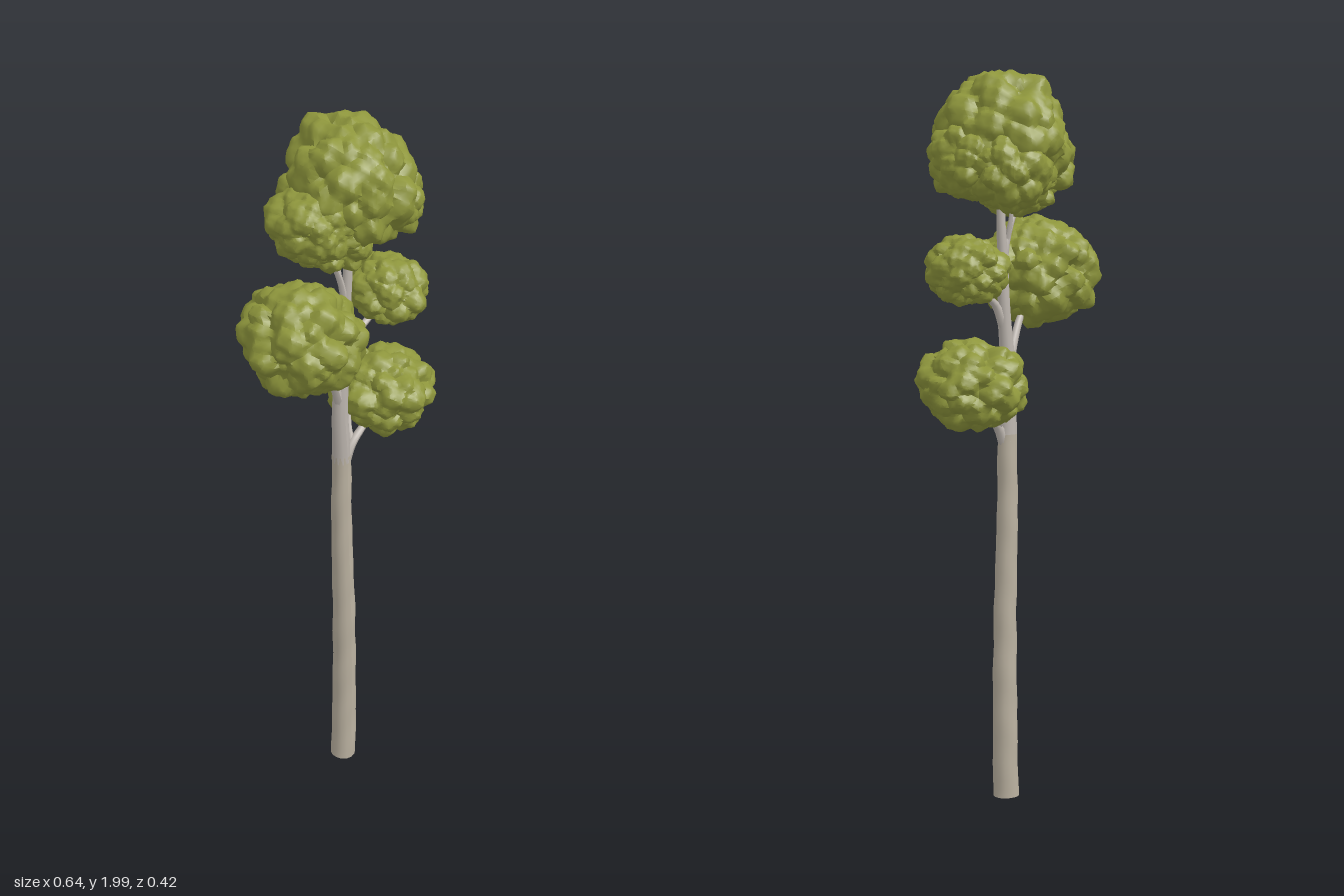
import * as THREE from 'three';
import { toCreasedNormals } from 'three/addons/utils/BufferGeometryUtils.js';

function seeded(seed) {
  let s = seed;
  return () => {
    s = (s * 16807) % 2147483647;
    return s / 2147483647;
  };
}

// Tapered, slightly gnarled limb through points [x, y, z, radius]
function limb(points, sides, steps, gnarl = 0) {
  const curve = new THREE.CatmullRomCurve3(points.map(p => new THREE.Vector3(p[0], p[1], p[2])));
  const geo = new THREE.TubeGeometry(curve, steps, 1, sides, false);
  const pos = geo.attributes.position;
  const v = new THREE.Vector3();
  for (let i = 0; i <= steps; i++) {
    const centre = curve.getPointAt(i / steps);
    const t = curve.getUtoTmapping(i / steps) * (points.length - 1);
    const k = Math.min(Math.floor(t), points.length - 2);
    const radius = THREE.MathUtils.lerp(points[k][3], points[k + 1][3], t - k);
    for (let j = 0; j <= sides; j++) {
      const n = i * (sides + 1) + j;
      const a = (j % sides) / sides * Math.PI * 2;
      const bump = 1 + gnarl * (Math.sin(i * 1.1 + Math.sin(a) * 2) + Math.sin(a * 3 + i * 0.8));
      v.fromBufferAttribute(pos, n).sub(centre).multiplyScalar(radius * bump).add(centre);
      pos.setXYZ(n, v.x, Math.max(v.y, 0), v.z);
    }
  }
  geo.computeVertexNormals();
  return geo;
}

// Foliage clump: a ball pushed out to the surface of many small uneven lumps
function foliage(radii, count, lumpSize, seed, detail) {
  const rand = seeded(seed);
  const lumps = [];
  for (let i = 0; i < count; i++) {
    const y = 1 - 2 * (i + 0.5) / count;
    const a = i * 2.39996 + rand() * 0.7;
    const r = Math.sqrt(1 - y * y);
    const size = lumpSize * (0.75 + rand() * 0.5);
    const dist = 1 - size + (rand() - 0.5) * 0.16;
    lumps.push({ c: new THREE.Vector3(r * Math.cos(a), y, r * Math.sin(a)).multiplyScalar(dist), size });
  }
  const geo = new THREE.IcosahedronGeometry(1, detail);
  const pos = geo.attributes.position;
  const d = new THREE.Vector3();
  for (let i = 0; i < pos.count; i++) {
    d.fromBufferAttribute(pos, i).normalize();
    let reach = 0.8;
    for (const { c, size } of lumps) {
      const along = d.dot(c);
      const h = size * size - (c.lengthSq() - along * along);
      if (along > 0 && h > 0) reach = Math.max(reach, along + Math.sqrt(h));
    }
    // small ripples roughen the lumps
    reach += 0.02 * Math.sin(d.x * 23 + seed) * Math.sin(d.y * 21) + 0.016 * Math.sin(d.z * 27 + d.x * 9);
    pos.setXYZ(i, d.x * reach * radii[0], d.y * reach * radii[1], d.z * reach * radii[2]);
  }
  return toCreasedNormals(geo, 0.7);
}

export function createModel() {
  const tree = new THREE.Group();
  tree.name = 'tree';
  const bark = new THREE.MeshStandardMaterial({ color: 0xbab1a0 });
  bark.name = 'bark';
  const paleBark = new THREE.MeshStandardMaterial({ color: 0xbdb6af });
  paleBark.name = 'paleBark';
  const leaf = new THREE.MeshStandardMaterial({ color: 0x8e963c });
  leaf.name = 'leaf';

  const add = (name, geo, mat) => {
    const mesh = new THREE.Mesh(geo, mat);
    mesh.name = name;
    tree.add(mesh);
    return mesh;
  };

  // Trunk
  add('lowerTrunk', limb([
    [0.031, 0, -0.024, 0.036], [0.033, 0.25, -0.023, 0.034], [0.029, 0.5, -0.02, 0.032],
    [0.021, 0.8, -0.021, 0.029], [0.02, 1.02, -0.02, 0.026],
  ], 14, 40, 0.025), bark);
  add('upperTrunk', limb([
    [0.02, 1.0, -0.02, 0.026], [0.011, 1.18, -0.016, 0.022], [0.024, 1.34, -0.013, 0.018],
    [0.03, 1.5, -0.012, 0.014], [0.036, 1.63, -0.01, 0.012], [0.04, 1.78, -0.01, 0.007],
  ], 12, 28, 0.02), paleBark);
  const base = add('trunkBase', new THREE.CircleGeometry(0.036, 14), bark);
  base.rotation.x = Math.PI / 2;
  base.position.set(0.031, 0.001, -0.024);

  // Branches and their forks
  const branches = [
    ['lowBranch', [[0.025, 0.98, -0.018, 0.016], [0.055, 1.04, -0.018, 0.013], [0.1, 1.08, -0.02, 0.01], [0.17, 1.14, -0.03, 0.006]]],
    ['lowBranchFork', [[0.055, 1.04, -0.018, 0.01], [0.065, 1.08, -0.04, 0.008], [0.09, 1.14, -0.07, 0.005]]],
    ['leftBranch', [[0.012, 1.17, -0.014, 0.015], [-0.02, 1.25, -0.005, 0.012], [-0.06, 1.32, 0.005, 0.01], [-0.13, 1.4, 0.02, 0.006]]],
    ['leftBranchFork', [[-0.045, 1.295, 0, 0.009], [-0.09, 1.325, 0.035, 0.007], [-0.13, 1.37, 0.07, 0.005]]],
    ['rightBranch', [[0.025, 1.31, -0.012, 0.014], [0.055, 1.37, -0.01, 0.011], [0.11, 1.41, -0.01, 0.009], [0.17, 1.46, -0.01, 0.005]]],
    ['upperBranch', [[0.027, 1.44, -0.012, 0.011], [0.01, 1.53, -0.008, 0.009], [-0.02, 1.6, -0.005, 0.008], [-0.09, 1.7, 0, 0.005]]],
    ['upperBranchFork', [[0.006, 1.54, -0.008, 0.007], [0.005, 1.6, -0.02, 0.006], [0.01, 1.68, -0.03, 0.004]]],
  ];
  for (const [name, points] of branches) add(name, limb(points, 8, 12), paleBark);

  // Foliage: name, centre, radii, lump count, lump size
  const clumps = [
    ['topFoliage', [0.027, 1.82, -0.01], [0.165, 0.176, 0.195], 80, 0.27],
    ['topLeftFoliage', [-0.09, 1.745, 0.0], [0.12, 0.105, 0.135], 55, 0.3],
    ['topLowFoliage', [-0.035, 1.69, 0.0], [0.11, 0.09, 0.12], 45, 0.32],
    ['topBackFoliage', [0.085, 1.735, -0.09], [0.12, 0.11, 0.12], 45, 0.32],
    ['topRightFoliage', [0.13, 1.755, 0.01], [0.103, 0.11, 0.13], 45, 0.32],
    ['leftFoliage', [-0.154, 1.445, 0.022], [0.157, 0.155, 0.18], 90, 0.25],
    ['rightFoliage', [0.178, 1.475, -0.015], [0.108, 0.094, 0.122], 55, 0.29],
    ['lowFoliage', [0.17, 1.17, -0.026], [0.141, 0.12, 0.156], 80, 0.26],
  ];
  clumps.forEach(([name, centre, radii, count, size], i) => {
    add(name, foliage(radii, count, size, 101 + i * 37, 15), leaf).position.set(...centre);
  });

  return tree;
}
